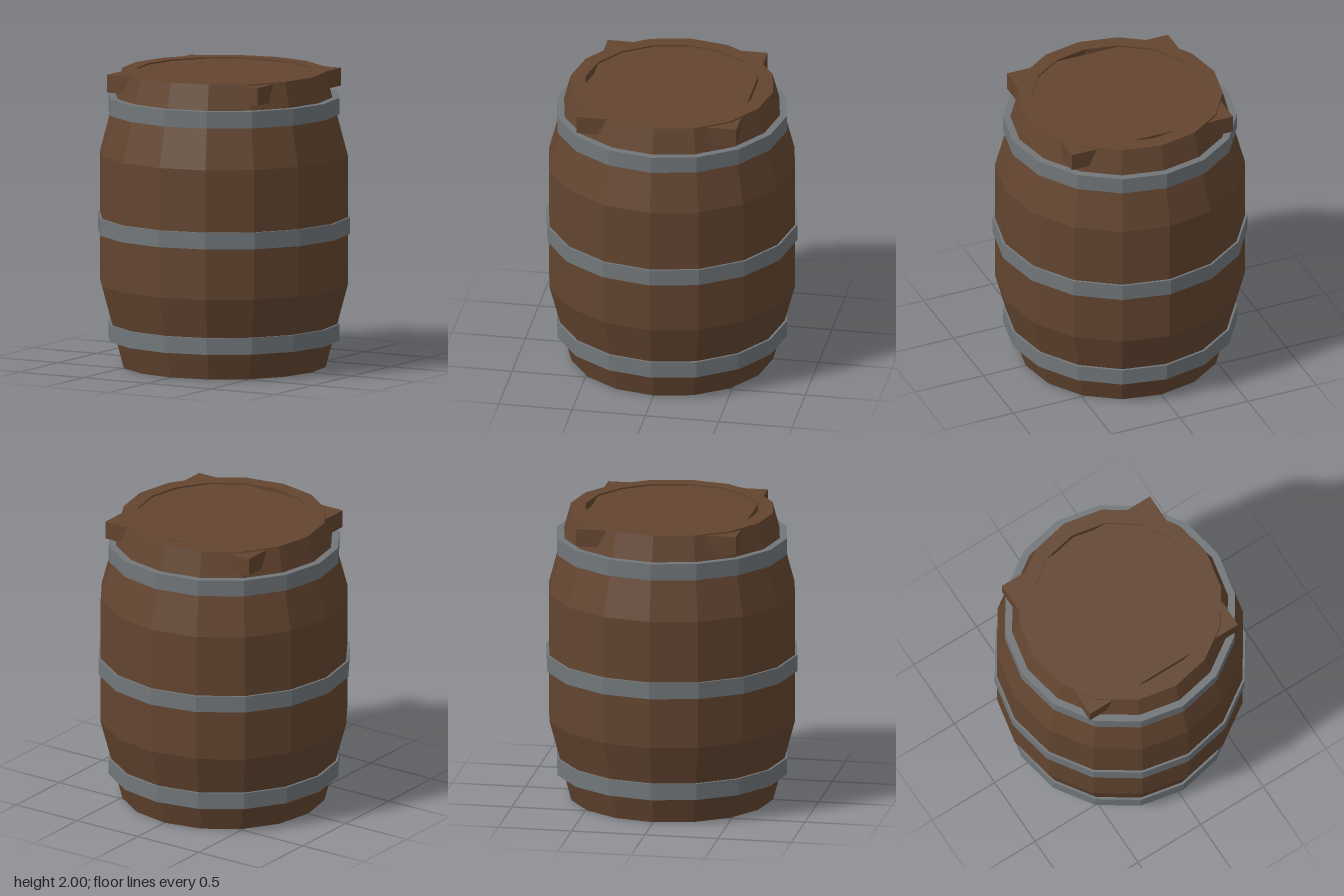
import * as THREE from 'three';

const SIDES = 16;

// Faceted solid of revolution from [radius, height] points
function turned(name, points, material) {
  const profile = points.map(([r, y]) => new THREE.Vector2(r, y));
  const mesh = new THREE.Mesh(new THREE.LatheGeometry(profile, SIDES), material);
  mesh.name = name;
  return mesh;
}

export function createModel() {
  const wood = new THREE.MeshStandardMaterial({ color: 0x634530, flatShading: true });
  wood.name = 'brown wood';
  const iron = new THREE.MeshStandardMaterial({ color: 0x72777a, flatShading: true });
  iron.name = 'grey iron';

  const barrel = new THREE.Group();
  barrel.name = 'barrel';

  // Bulging body with a raised rim around a recessed top
  barrel.add(turned('body', [
    [0, 0], [0.69, 0], [0.84, 0.56], [0.84, 1.44], [0.69, 2],
    [0.59, 2], [0.59, 1.95], [0, 1.95],
  ], wood));

  // Square lid board whose corners poke out through the staves
  const lid = new THREE.Mesh(new THREE.BoxGeometry(1.18, 0.12, 1.09), wood);
  lid.name = 'lid';
  lid.position.y = 1.93;
  barrel.add(lid);

  // Three iron hoops: bottom, radius
  const hoops = [['lowerHoop', 0.18, 0.785], ['middleHoop', 0.905, 0.855], ['upperHoop', 1.715, 0.785]];
  for (const [name, y, r] of hoops) {
    const inner = r - 0.08, top = y + 0.113;
    barrel.add(turned(name, [[inner, y], [r, y], [r, top], [inner, top]], iron));
  }

  return barrel;
}
